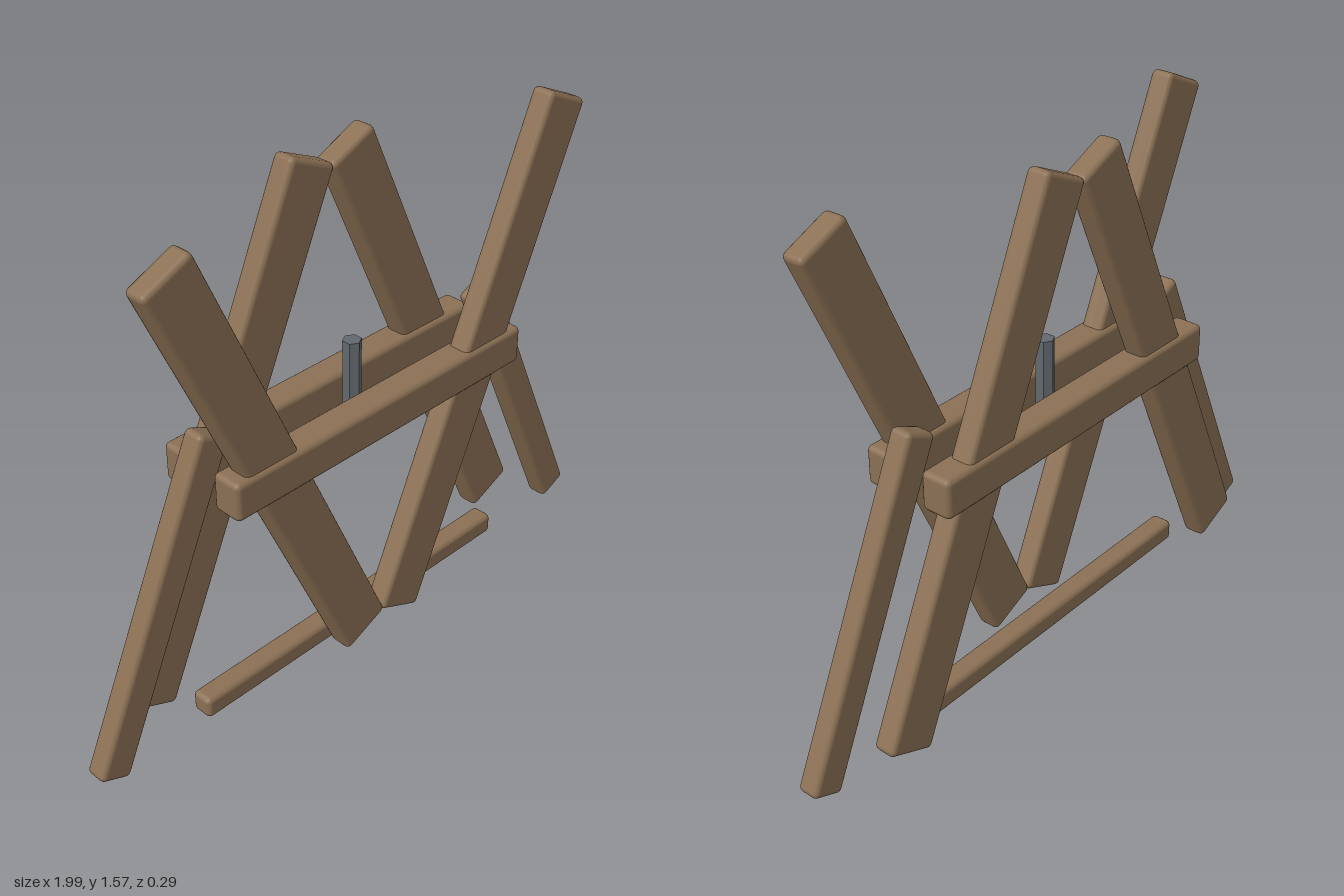
import * as THREE from 'three';
import { RoundedBoxGeometry } from 'three/addons/geometries/RoundedBoxGeometry.js';

const LEAN = 0.422; // shared lean of all slanted timbers

export function createModel() {
  const model = new THREE.Group();
  model.name = 'timberFrame';

  const wood = new THREE.MeshStandardMaterial({ color: 0x8b7054 });
  wood.name = 'brown wood';
  const metal = new THREE.MeshStandardMaterial({ color: 0x62686e });
  metal.name = 'grey metal';

  // Timber with softened edges
  function timber(name, size, position, angle = 0) {
    const mesh = new THREE.Mesh(new RoundedBoxGeometry(...size, 2, 0.017), wood);
    mesh.name = name;
    mesh.position.set(...position);
    mesh.rotation.z = angle;
    model.add(mesh);
  }

  for (const [side, s] of [['left', 1], ['right', -1]]) {
    // Front pair spreads upward, back pair meets at the top
    timber(`${side}FrontBeam`, [0.17, 1.61, 0.073], [s * 0.4, 0.815, 0.099], -s * LEAN);
    timber(`${side}BackBeam`, [0.17, 1.61, 0.073], [s * 0.4, 0.815, -0.099], s * LEAN);
    // Outer legs in the middle plane
    timber(`${side}Leg`, [0.108, 1.03, 0.07], [s * 0.74, 0.495, 0], s * LEAN);
  }

  // Horizontal rails
  timber('frontRail', [1.128, 0.12, 0.097], [0, 0.815, 0.098]);
  timber('backRail', [1.128, 0.12, 0.097], [0, 0.815, -0.098]);
  timber('bottomRail', [1.23, 0.07, 0.07], [0, 0.053, 0]);

  // Upright hexagonal pin between the rails
  const pinGeometry = new THREE.CylinderGeometry(0.028, 0.028, 0.345, 6).toNonIndexed();
  pinGeometry.computeVertexNormals();
  const pin = new THREE.Mesh(pinGeometry, metal);
  pin.name = 'centrePin';
  pin.position.y = 0.838;
  model.add(pin);

  return model;
}
